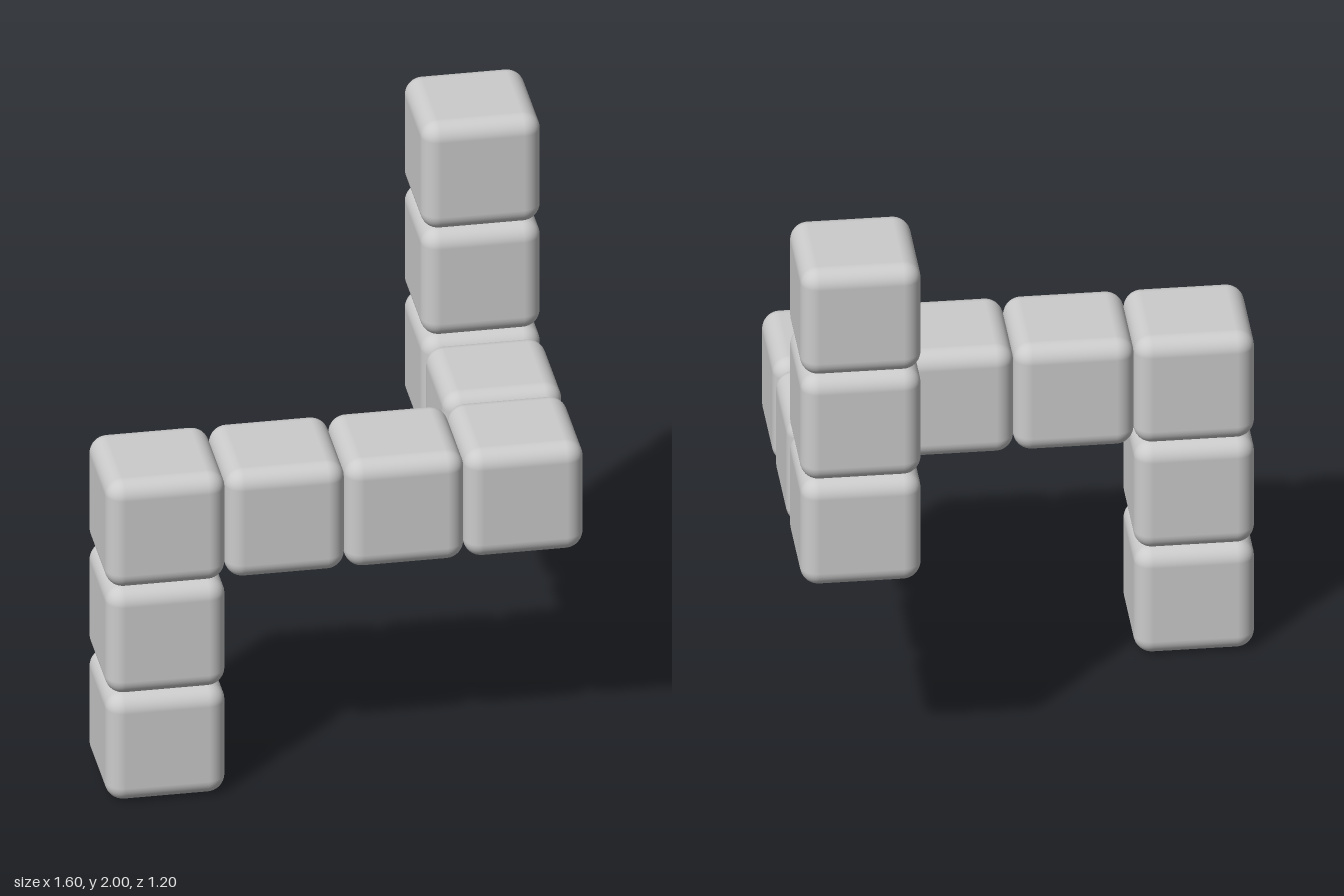
import * as THREE from 'three';
import { RoundedBoxGeometry } from 'three/addons/geometries/RoundedBoxGeometry.js';

const CELL = 0.4;

export function createModel() {
  const model = new THREE.Group();
  model.name = 'cubeChain';
  const material = new THREE.MeshStandardMaterial({ color: 0xcccccc });
  const cube = new RoundedBoxGeometry(CELL, CELL, CELL, 5, 0.06);

  // Each run continues the chain from the previous cube along one axis
  const runs = [
    { name: 'lowerColumn', step: [0, 1, 0], count: 3 },
    { name: 'frontBar', step: [1, 0, 0], count: 3 },
    { name: 'sideBar', step: [0, 0, -1], count: 2 },
    { name: 'upperColumn', step: [0, 1, 0], count: 2 },
  ];

  // Start one cell below the bottom cube
  const position = new THREE.Vector3(-0.6, -0.2, 0.4);
  for (const { name, step, count } of runs) {
    const run = new THREE.Group();
    run.name = name;
    const move = new THREE.Vector3(...step).multiplyScalar(CELL);
    for (let i = 0; i < count; i++) {
      position.add(move);
      const mesh = new THREE.Mesh(cube, material);
      mesh.name = `${name}Cube${i + 1}`;
      mesh.position.copy(position);
      run.add(mesh);
    }
    model.add(run);
  }
  return model;
}
